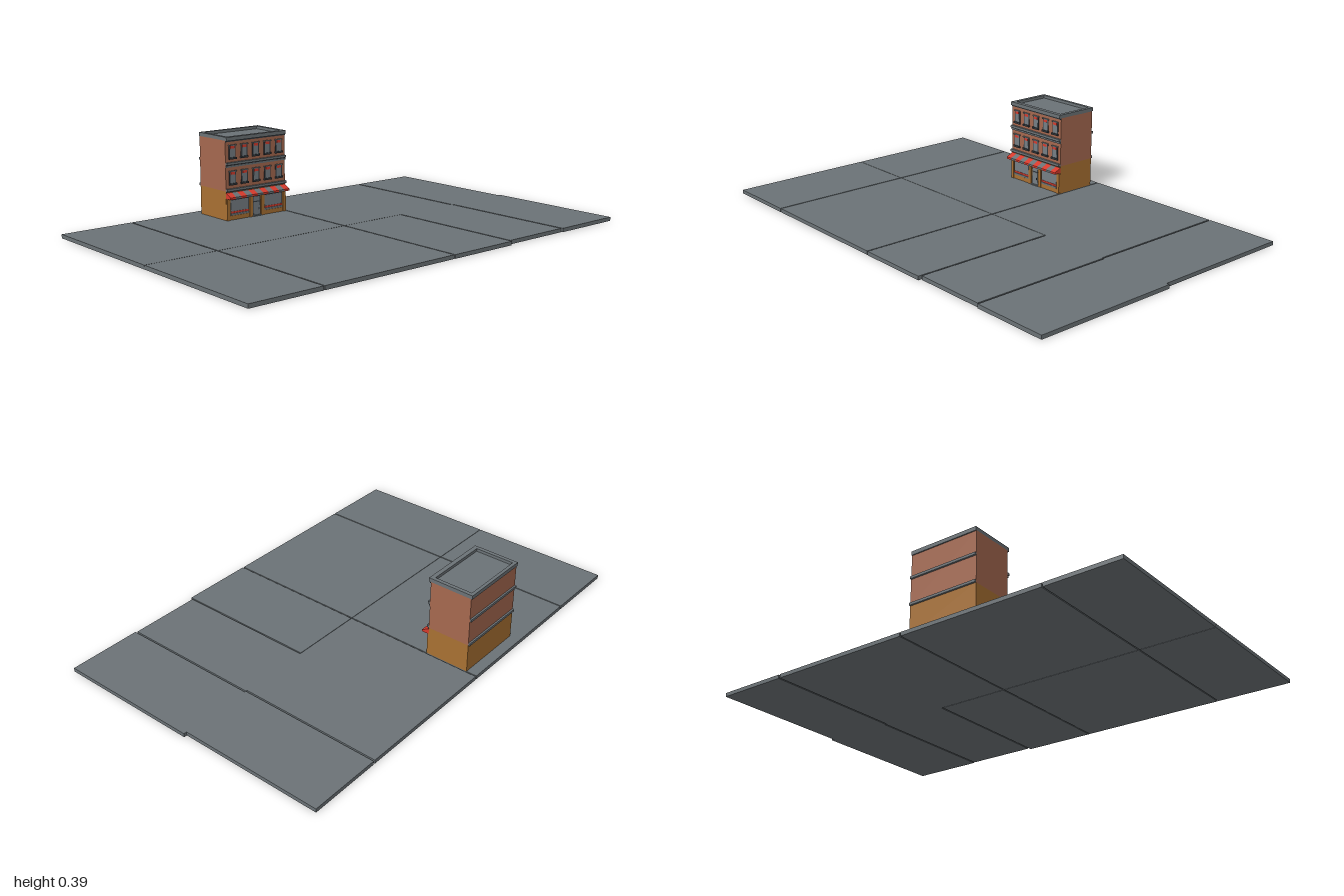
import * as THREE from 'three';

const mat = (name, color) => {
  const m = new THREE.MeshStandardMaterial({ color });
  m.name = name;
  return m;
};

export function createModel() {
  const stone = mat('stone grey', 0x6b7276);
  const brick = mat('brick', 0xa5684f);
  const ochre = mat('ochre', 0xa87032);
  const red = mat('red', 0xd63a2c);
  const dark = mat('dark slate', 0x343a40);
  const glass = mat('window grey', 0x767e84);

  const model = new THREE.Group();
  model.name = 'cityBlock';

  // box given by its two corners
  const box = (parent, name, m, x0, x1, y0, y1, z0, z1) => {
    const mesh = new THREE.Mesh(new THREE.BoxGeometry(x1 - x0, y1 - y0, z1 - z0), m);
    mesh.position.set((x0 + x1) / 2, (y0 + y1) / 2, (z0 + z1) / 2);
    mesh.name = name;
    parent.add(mesh);
    return mesh;
  };
  const group = (name, parent) => {
    const g = new THREE.Group();
    g.name = name;
    parent.add(g);
    return g;
  };

  // ground slabs: x0, x1, z0, z1
  const ground = group('pavement', model);
  const G = 0.017;
  [
    [-1, -0.669, -0.656, -0.002], [-0.664, -0.008, -0.656, -0.002],
    [-0.003, 0.654, -0.656, -0.002], [0.661, 0.986, -0.656, -0.002],
    [-1, -0.669, 0, 0.655], [-0.664, -0.008, 0, 0.655],
    [-0.003, 0.328, 0, 0.656], [0.334, 0.660, -0.002, 0.643], [0.667, 1, -0.002, 0.648],
  ].forEach(([x0, x1, z0, z1]) => box(ground, 'slab', stone, x0, x1, 0, G, z0, z1));

  // main walls
  const house = group('building', model);
  const L = -0.334, R = -0.008, B = -0.607, F = -0.411;
  box(house, 'groundFloorWalls', ochre, L, R, G, 0.147, B, F);
  box(house, 'upperWalls', brick, L, R, 0.147, 0.372, B, F);

  // parapet ring with a sunken roof
  const ring = new THREE.Shape();
  const rect = (s, x0, x1, y0, y1) =>
    s.moveTo(x0, y0).lineTo(x1, y0).lineTo(x1, y1).lineTo(x0, y1).closePath();
  rect(ring, L, R, 0.401, 0.612);
  const hole = new THREE.Path();
  rect(hole, L + 0.017, R - 0.017, 0.421, 0.597);
  ring.holes.push(hole);
  const parapet = new THREE.Mesh(
    new THREE.ExtrudeGeometry(ring, { depth: 0.017, bevelEnabled: false }), stone);
  parapet.rotation.x = -Math.PI / 2;
  parapet.position.y = 0.371;
  parapet.name = 'parapet';
  house.add(parapet);
  box(house, 'roof', stone, L + 0.01, R - 0.01, 0.371, 0.375, B + 0.004, F - 0.004);

  // stepped cornices on front and back
  const cornices = group('cornices', house);
  [0.147, 0.264].forEach((y) => {
    [[F, -0.400], [-0.615, B]].forEach(([z0, z1]) => {
      box(cornices, 'cornice', stone, L, R, y, y + 0.011, z0, z1);
    });
    box(cornices, 'corniceShadowBand', dark, L, R, y - 0.004, y, F, F + 0.004);
  });
  box(cornices, 'friezeBand', stone, L, R, 0.253, 0.260, F, F + 0.005);
  box(cornices, 'topFrieze', dark, L, R, 0.366, 0.371, F, F + 0.004);

  // two rows of five windows
  const windows = group('windows', house);
  for (const y of [0.180, 0.295]) {
    for (let i = 0; i < 5; i++) {
      const x = (L + R) / 2 + (i - 2) * 0.0635;
      const w = group('window', windows);
      box(w, 'frame', dark, x - 0.018, x + 0.018, y, y + 0.055, F, F + 0.002);
      box(w, 'pane', glass, x - 0.013, x + 0.013, y, y + 0.05, F, F + 0.003);
      box(w, 'sill', dark, x - 0.020, x + 0.020, y - 0.007, y + 0.001, F, F + 0.008);
      box(w, 'lintel', stone, x - 0.020, x + 0.020, y + 0.052, y + 0.057, F, F + 0.007);
      box(w, 'redKeystone', red, x - 0.011, x + 0.011, y + 0.040, y + 0.052, F, F + 0.005);
    }
  }

  // shop front: two display windows and a central door
  const shop = group('shopFront', house);
  const C = (L + R) / 2;
  for (const s of [-1, 1]) {
    const x = C + s * 0.093;
    box(shop, 'displayFrame', dark, x - 0.051, x + 0.051, 0.036, 0.108, F, F + 0.002);
    box(shop, 'displayGlass', glass, x - 0.048, x + 0.048, 0.049, 0.105, F, F + 0.003);
    box(shop, 'displayBase', stone, x - 0.051, x + 0.051, 0.037, 0.046, F, F + 0.006);
    box(shop, 'redSill', red, x - 0.048, x + 0.048, 0.047, 0.055, F, F + 0.005);
    box(shop, 'plinth', ochre, x - 0.054, x + 0.054, G, 0.036, F, F + 0.004);
    for (const e of [-0.061, 0.061])
      box(shop, 'pilaster', ochre, x + e - 0.008, x + e + 0.008, G, 0.115, F, F + 0.007);
  }
  box(shop, 'doorFrame', dark, C - 0.021, C + 0.021, G, 0.108, F, F + 0.002);
  box(shop, 'door', glass, C - 0.017, C + 0.017, 0.022, 0.080, F, F + 0.003);
  box(shop, 'transom', glass, C - 0.017, C + 0.017, 0.085, 0.105, F, F + 0.003);
  box(shop, 'doorHandle', dark, C + 0.009, C + 0.013, 0.045, 0.055, F, F + 0.005);
  box(shop, 'doorStep', stone, C - 0.024, C + 0.024, G, 0.022, F, F + 0.009);

  // striped sloping awning, one wedge per stripe
  const awning = group('awning', house);
  const profile = new THREE.Shape();
  profile.moveTo(0, 0.115).lineTo(0.034, 0.115).lineTo(0.034, 0.124).lineTo(0, 0.140).closePath();
  const n = 11, step = (R - L) / n;
  for (let i = 0; i < n; i++) {
    const stripe = new THREE.Mesh(
      new THREE.ExtrudeGeometry(profile, { depth: step, bevelEnabled: false }),
      i % 2 ? stone : red);
    stripe.rotation.y = -Math.PI / 2;
    stripe.position.set(L + (i + 1) * step, 0, F);
    stripe.scale.x = 1;
    stripe.name = 'awningStripe';
    awning.add(stripe);
  }
  return model;
}
